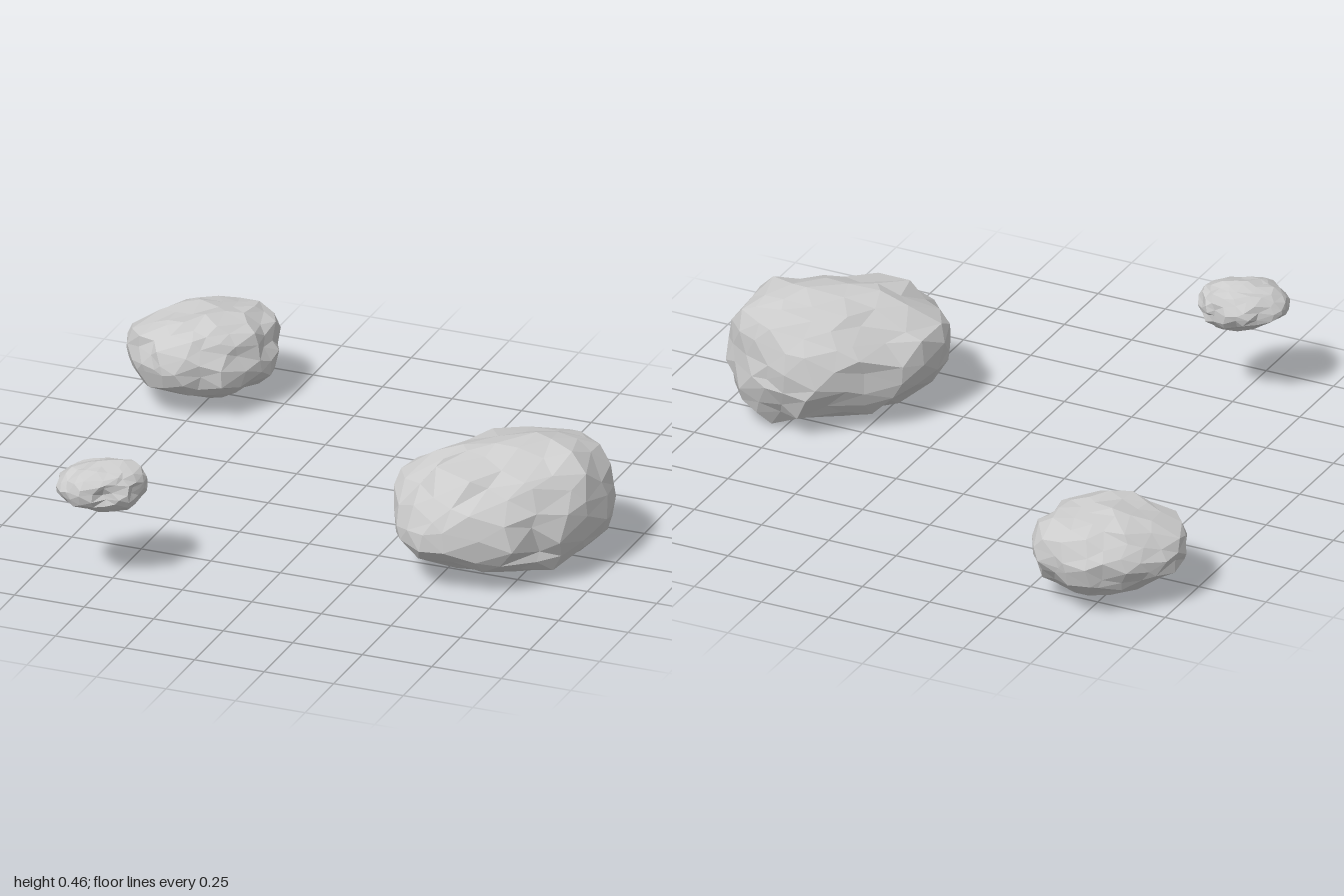
import * as THREE from 'three';
import { mergeVertices } from 'three/addons/utils/BufferGeometryUtils.js';

// radii: long, vertical, short; yaw turns the long axis about y;
// peakX / peakZ shift the crown and base sideways;
// knobs: corners the surface reaches out or in to, from the rock's centre
const ROCKS = [
  {
    name: 'largeRock', center: [0.65, 0.232, 0.15], radii: [0.39, 0.235, 0.28], yaw: 0.82, peakX: 0.07, peakZ: -0.08, seed: 11,
    knobs: [
      [-0.35, 0.08, 0.04], [-0.19, -0.03, 0.34], [0.35, 0, -0.19], [0.35, 0, -0.08],
      [0.3, 0.16, -0.04], [-0.13, 0.17, 0.25], [-0.2, -0.18, 0.1], [0.26, -0.15, 0.05],
      [0.09, -0.05, 0.31], [0.05, 0.02, -0.34], [-0.17, 0, -0.18], [0.3, 0, 0.08],
    ],
  },
  {
    name: 'mediumRock', center: [-0.77, 0.2, -0.685], radii: [0.26, 0.16, 0.205], yaw: 0.72, peakX: 0.05, peakZ: 0, seed: 29,
    knobs: [
      [-0.23, 0.06, 0.085], [-0.16, 0, -0.115], [0.07, 0.02, -0.235], [0.21, 0.05, -0.185],
      [0.23, -0.06, -0.095], [0.15, -0.03, 0.175], [-0.04, -0.02, 0.235], [-0.18, -0.03, 0.165],
    ],
  },
  {
    name: 'smallRock', center: [-0.525, 0.365, 0.795], radii: [0.153, 0.085, 0.115], yaw: 0.52, peakX: 0.03, peakZ: -0.02, seed: 47,
    knobs: [
      [0.145, 0, -0.065], [-0.145, 0.015, 0.005], [-0.045, 0.01, 0.125],
      [0.115, 0, 0.015], [-0.055, 0, -0.125], [0.04, 0, 0.06],
    ],
  },
];

const BOXINESS = 2.1; // 2 is a plain ellipsoid, more is squarer
const KNOB_SHARPNESS = 12;
const UP = new THREE.Vector3(0, 1, 0);

function seededJitter(seed) {
  let s = seed * 7919;
  return (amount) => {
    s = (s * 16807) % 2147483647;
    return ((s / 2147483647) * 2 - 1) * amount;
  };
}

function rockGeometry({ radii, yaw, peakX, peakZ, knobs, seed }) {
  const jitter = seededJitter(seed);
  const corners = knobs.map((k) => new THREE.Vector3(...k));

  // Shared vertices keep the faceted ball closed while it is roughened
  const ball = new THREE.IcosahedronGeometry(1, 3);
  ball.deleteAttribute('normal');
  ball.deleteAttribute('uv');
  const geometry = mergeVertices(ball, 1e-4);
  const position = geometry.attributes.position;
  const v = new THREE.Vector3();

  for (let i = 0; i < position.count; i++) {
    // Uneven facets: nudge each vertex along and out of the surface
    v.fromBufferAttribute(position, i);
    v.set(v.x + jitter(0.08), v.y + jitter(0.08), v.z + jitter(0.08)).normalize();
    const sum = v.toArray().reduce((total, c) => total + Math.abs(c) ** BOXINESS, 0);
    v.multiplyScalar((0.97 + jitter(0.07)) / sum ** (1 / BOXINESS));

    // Squash, turn and lean the crown and base
    const height = Math.min(Math.abs(v.y), 1);
    v.set(v.x * radii[0], v.y * radii[1], v.z * radii[2]).applyAxisAngle(UP, yaw);
    v.x += peakX * height ** 2;
    v.z += peakZ * height ** 2;

    // Draw the surface near each knob to its distance
    for (const corner of corners) {
      const weight = Math.exp(-KNOB_SHARPNESS * v.angleTo(corner) ** 2);
      v.setLength(THREE.MathUtils.lerp(v.length(), corner.length(), weight));
    }
    position.setXYZ(i, v.x, v.y, v.z);
  }
  geometry.computeVertexNormals();
  return geometry;
}

export function createModel() {
  const group = new THREE.Group();
  group.name = 'rocks';
  const stone = new THREE.MeshStandardMaterial({ color: 0xcccccc, flatShading: true });
  for (const rock of ROCKS) {
    const mesh = new THREE.Mesh(rockGeometry(rock), stone);
    mesh.name = rock.name;
    mesh.position.set(...rock.center);
    group.add(mesh);
  }
  return group;
}
